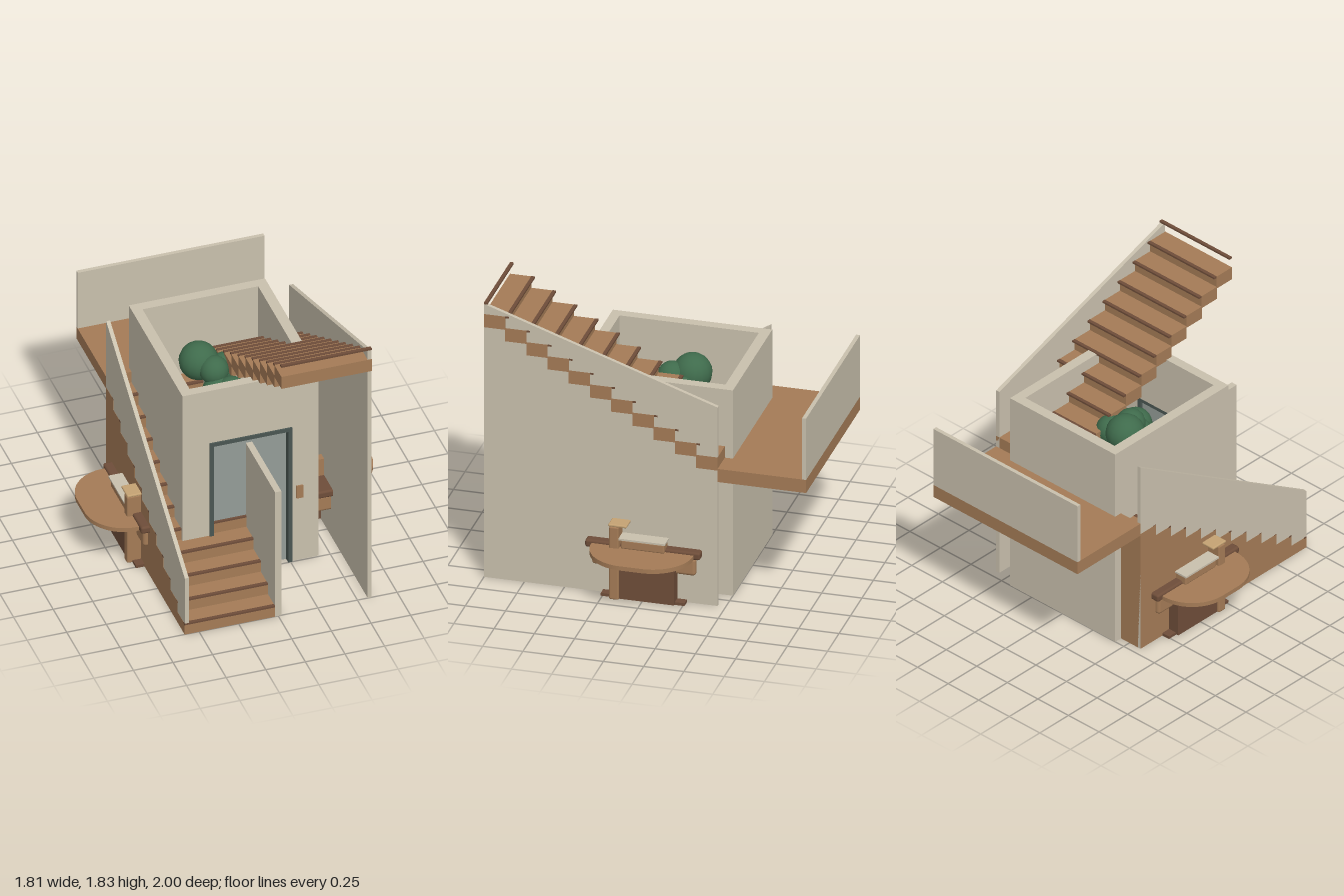
import * as THREE from 'three';
import { RoundedBoxGeometry } from 'three/addons/geometries/RoundedBoxGeometry.js';

const mat = (name, color) => {
  const m = new THREE.MeshStandardMaterial({ color });
  m.name = name;
  return m;
};

export function createModel() {
  const model = new THREE.Group();
  model.name = 'staircaseWithLift';
  const plaster = mat('plaster', 0xc9c0ad);
  const wood = mat('wood', 0xa47b56);
  const darkWood = mat('darkWood', 0x6e4d39);
  const tan = mat('paleWood', 0xc4a273);
  const frameMat = mat('darkFrame', 0x4a5652);
  const glass = mat('glass', 0x949c97);
  const green = mat('foliage', 0x3f6b4c);

  const add = (name, geo, material, parent = model) => {
    const mesh = new THREE.Mesh(geo, material);
    mesh.name = name;
    parent.add(mesh);
    return mesh;
  };
  const group = (name) => {
    const g = new THREE.Group();
    g.name = name;
    model.add(g);
    return g;
  };
  // Box given by its limits on each axis; a radius rounds the edges
  const box = (name, [x0, x1], [y0, y1], [z0, z1], material, parent, radius = 0) => {
    const size = [x1 - x0, y1 - y0, z1 - z0];
    const geo = radius ? new RoundedBoxGeometry(...size, 2, radius) : new THREE.BoxGeometry(...size);
    geo.translate((x0 + x1) / 2, (y0 + y1) / 2, (z0 + z1) / 2);
    return add(name, geo, material, parent);
  };
  const polygon = (pts) => new THREE.Shape(pts.map(([x, y]) => new THREE.Vector2(x, y)));
  const extrude = (shape, depth) =>
    new THREE.ExtrudeGeometry(shape, { depth, bevelEnabled: false, curveSegments: 16 });

  // Two flights of eleven steps
  const steps = 11, rise = 0.076, run = 1.45 / steps;
  const lower = group('lowerFlight');
  const upper = group('upperFlight');
  for (let i = 0; i < steps; i++) {
    const front = 1 - i * run, top = rise * (i + 1);
    box('lowerStep', [-0.591, -0.02], [0, top], [front - run, front + 0.001], wood, lower);
    box('lowerNosing', [-0.591, -0.02], [top - 0.008, top + 0.003], [front - 0.02, front + 0.002], darkWood, lower);
    const start = -0.45 + i * run, high = 0.912 + top;
    box('upperStep', [0.02, 0.591], [high - 0.087, high], [start, start + run + 0.001], wood, upper);
    box('upperNosing', [0.02, 0.591], [high + rise - 0.01, high + rise + 0.002],
      [start + run - 0.022, start + run], darkWood, upper);
  }

  // Landing and its parapet
  box('landing', [-0.59, 0.59], [0.825, 0.912], [-1, -0.45], wood);
  box('landingParapet', [-0.59, 0.59], [0.912, 1.32], [-1, -0.975], plaster);

  // Sloping side walls and the wall between the flights
  const sideWall = (name, x, frontTop) => {
    const geo = extrude(polygon([[-1, 0], [0.45, 0], [0.45, 1.32], [-1, frontTop]]), 0.025);
    geo.rotateY(Math.PI / 2).translate(x, 0, 0);
    add(name, geo, plaster);
  };
  sideWall('upperSideWall', 0.565, 1.815);
  sideWall('lowerSideWall', -0.59, 0.41);
  box('middleWall', [-0.02, 0.02], [0, 0.91], [-0.45, 1], plaster);

  // Lift shaft, open at the top
  const shaft = group('liftShaft');
  const H = 1.365;
  box('shaftBack', [-0.43, 0.43], [0, H], [-0.5, -0.435], plaster, shaft);
  for (const s of [-1, 1]) {
    const xs = s < 0 ? [-0.43, -0.365] : [0.365, 0.43];
    box('shaftSide', xs, [0, H], [-0.435, 0.43], plaster, shaft);
  }
  const front = polygon([[-0.43, 0], [-0.26, 0], [-0.26, 0.98], [0.26, 0.98],
    [0.26, 0], [0.43, 0], [0.43, H], [-0.43, H]]);
  add('shaftFront', extrude(front, 0.06).translate(0, 0, 0.43), plaster, shaft);
  box('shaftFloor', [0.02, 0.365], [0, 0.01], [-0.435, 0.43], frameMat, shaft);

  // Lift door
  const frame = polygon([[-0.26, 0], [-0.235, 0], [-0.235, 0.957], [0.235, 0.957],
    [0.235, 0], [0.26, 0], [0.26, 0.982], [-0.26, 0.982]]);
  add('doorFrame', extrude(frame, 0.07).translate(0, 0, 0.43), frameMat, shaft);
  box('doorGlass', [-0.235, 0.235], [0, 0.957], [0.45, 0.46], glass, shaft);
  box('callPanel', [0.288, 0.33], [0.455, 0.545], [0.49, 0.499], wood, shaft);

  // Long desk passing through the building, with rounded ends
  const desk = group('desk');
  const L = 0.905, W = 0.317, r = 0.25;
  const top = new THREE.Shape();
  top.moveTo(-L + r, -W);
  top.lineTo(L - r, -W);
  top.absarc(L - r, -W + r, r, -Math.PI / 2, 0);
  top.absarc(L - r, W - r, r, 0, Math.PI / 2);
  top.absarc(-L + r, W - r, r, Math.PI / 2, Math.PI);
  top.absarc(-L + r, -W + r, r, Math.PI, Math.PI * 1.5);
  add('deskTop', extrude(top, 0.028).rotateX(-Math.PI / 2).translate(0, 0.315, 0), wood, desk);
  box('deskRail', [-0.645, 0.645], [0.31, 0.36], [-0.355, 0.36], darkWood, desk, 0.015);
  box('deskApron', [-0.62, 0.62], [0.19, 0.305], [-0.32, 0.325], wood, desk, 0.02);
  box('deskBack', [-0.66, 0.66], [0.2, 0.48], [0.145, 0.195], wood, desk);
  for (const s of [-1, 1]) {
    const span = (a, b) => (s > 0 ? [a, b] : [-b, -a]);
    box('deskPost', span(0.57, 0.68), [0, 0.483], [0.14, 0.2], wood, desk, 0.01);
    box('postCap', span(0.57, 0.68), [0.483, 0.5], [0.09, 0.205], tan, desk, 0.007);
    box('deskPedestal', span(0.52, 0.665), [0.005, 0.315], [-0.2, 0.14], darkWood, desk);
    box('deskFoot', span(0.57, 0.645), [0, 0.018], [-0.26, 0.26], darkWood, desk);
    box('armBlock', span(0.57, 0.67), [0.34, 0.4], [-0.14, 0.13], wood, desk, 0.01);
    box('armPad', span(0.57, 0.68), [0.4, 0.412], [-0.148, 0.14], plaster, desk);
  }

  // Cabinet and potted plant inside the shaft
  box('cabinet', [-0.365, -0.21], [0.5, 0.88], [-0.11, 0.11], tan);
  box('planter', [-0.2, 0.1], [0.45, 0.86], [-0.22, 0.205], frameMat);
  const plant = group('plant');
  add('plantStem', new THREE.CylinderGeometry(0.02, 0.025, 0.3, 10).translate(-0.06, 0.98, 0), darkWood, plant);
  const leaves = [[-0.13, 1.17, -0.09, 0.12], [0.02, 1.11, -0.06, 0.09], [-0.07, 1.16, 0.02, 0.09],
    [0.0, 1.06, 0.14, 0.1], [-0.06, 1.05, 0.08, 0.1]];
  for (const [x, y, z, rad] of leaves) {
    add('leafCluster', new THREE.SphereGeometry(rad, 16, 12).translate(x, y, z), green, plant);
  }
  return model;
}
